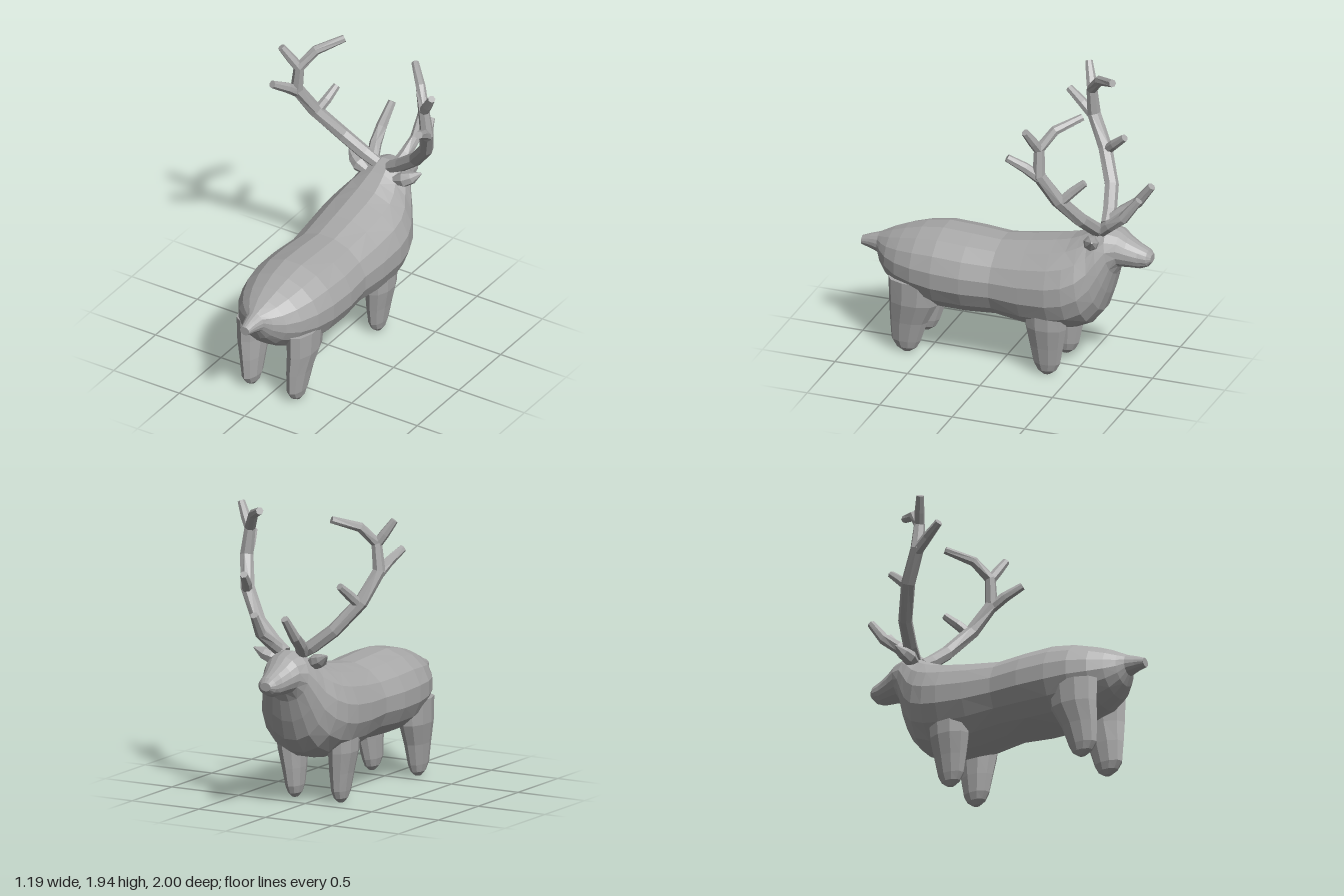
import * as THREE from 'three';

const V = (x, y, z) => new THREE.Vector3(x, y, z);

// Skin a list of equal-sized rings and close both ends.
function loft(rings) {
  const n = rings[0].length, pos = [];
  const tri = (...p) => p.forEach(q => pos.push(q.x, q.y, q.z));
  for (let i = 0; i < rings.length - 1; i++) {
    for (let j = 0; j < n; j++) {
      const k = (j + 1) % n, a = rings[i], b = rings[i + 1];
      if ((i + j) % 2) { tri(a[j], a[k], b[k]); tri(a[j], b[k], b[j]); }
      else { tri(a[j], a[k], b[j]); tri(a[k], b[k], b[j]); }
    }
  }
  const cap = (r, flip) => {
    const c = r.reduce((s, p) => s.add(p), V(0, 0, 0)).divideScalar(n);
    r.forEach((p, j) => flip ? tri(c, r[(j + 1) % n], p) : tri(c, p, r[(j + 1) % n]));
  };
  cap(rings[0], true);
  cap(rings[rings.length - 1], false);
  const g = new THREE.BufferGeometry();
  g.setAttribute('position', new THREE.Float32BufferAttribute(pos, 3));
  g.computeVertexNormals();
  return g;
}

// Ring around centre c spanned by half-axes u and v.
function ring(c, u, v, n) {
  return Array.from({ length: n }, (_, j) => {
    const a = (j + 0.5) / n * Math.PI * 2;
    return c.clone().addScaledVector(u, Math.cos(a)).addScaledVector(v, Math.sin(a));
  });
}

// Faceted tapering branch; points are [x, y, z, radius].
function branch(points, s, sides = 7) {
  const p = points.map(q => V(q[0] * s, q[1], q[2]));
  return loft(p.map((c, i) => {
    const t = p[Math.min(i + 1, p.length - 1)].clone().sub(p[Math.max(i - 1, 0)]).normalize();
    const u = V(0, 0, 1).cross(t).normalize(), v = t.clone().cross(u), r = points[i][3];
    return ring(c, u.multiplyScalar(r), v.multiplyScalar(r), sides);
  }));
}

// Torso, neck and head: [top z, top y, bottom z, bottom y, half width]
const BODY = [
  [1.0, 0.68, 1.0, 0.62, 0.035], [0.94, 0.705, 0.94, 0.605, 0.05],
  [0.88, 0.725, 0.88, 0.585, 0.07],
  [0.84, 0.745, 0.85, 0.52, 0.12], [0.78, 0.775, 0.79, 0.45, 0.185],
  [0.69, 0.81, 0.70, 0.39, 0.245], [0.57, 0.845, 0.57, 0.345, 0.295],
  [0.42, 0.868, 0.42, 0.31, 0.32], [0.22, 0.86, 0.22, 0.31, 0.325],
  [0.02, 0.848, 0.02, 0.322, 0.305], [-0.18, 0.88, -0.18, 0.29, 0.32],
  [-0.36, 0.915, -0.38, 0.285, 0.328], [-0.46, 0.94, -0.50, 0.305, 0.315],
  [-0.53, 0.97, -0.61, 0.355, 0.285], [-0.59, 1.0, -0.685, 0.45, 0.24],
  [-0.64, 1.03, -0.73, 0.58, 0.205], [-0.70, 1.05, -0.765, 0.72, 0.165],
  [-0.79, 1.025, -0.79, 0.775, 0.135], [-0.84, 0.985, -0.85, 0.78, 0.11],
  [-0.91, 0.945, -0.93, 0.78, 0.082], [-0.975, 0.915, -0.975, 0.80, 0.068],
  [-1.0, 0.885, -1.0, 0.83, 0.04]
];

// Legs: [y, x, z, half width, half depth]
const LEGS = {
  hindLeg: [
    [0.52, 0.19, 0.57, 0.09, 0.18], [0.36, 0.19, 0.58, 0.085, 0.165],
    [0.22, 0.178, 0.615, 0.068, 0.128], [0.08, 0.172, 0.635, 0.053, 0.1],
    [0.03, 0.172, 0.632, 0.04, 0.07], [0.0, 0.172, 0.63, 0.018, 0.025]
  ],
  frontLeg: [
    [0.50, 0.19, -0.335, 0.09, 0.155], [0.34, 0.19, -0.335, 0.085, 0.14],
    [0.20, 0.178, -0.335, 0.068, 0.115], [0.08, 0.172, -0.335, 0.053, 0.092],
    [0.03, 0.172, -0.335, 0.04, 0.065], [0.0, 0.172, -0.335, 0.018, 0.025]
  ]
};

// Antler branches and ear: [x, y, z, radius]
const BRANCHES = {
  antlerBeam: [
    [0.05, 1.02, -0.665, 0.042], [0.14, 1.075, -0.65, 0.047],
    [0.28, 1.19, -0.61, 0.047], [0.425, 1.375, -0.51, 0.047],
    [0.497, 1.57, -0.405, 0.045], [0.475, 1.75, -0.4, 0.037],
    [0.40, 1.86, -0.48, 0.033], [0.27, 1.92, -0.62, 0.025]
  ],
  upperTine: [[0.475, 1.74, -0.4, 0.034], [0.52, 1.81, -0.375, 0.033], [0.575, 1.9, -0.34, 0.025]],
  frontTine: [[0.495, 1.55, -0.41, 0.038], [0.52, 1.62, -0.32, 0.035], [0.56, 1.69, -0.21, 0.026]],
  middleTine: [[0.42, 1.36, -0.52, 0.034], [0.385, 1.43, -0.59, 0.033], [0.36, 1.5, -0.67, 0.025]],
  browTine: [
    [0.09, 1.04, -0.68, 0.042], [0.115, 1.1, -0.75, 0.041],
    [0.13, 1.17, -0.845, 0.037], [0.115, 1.31, -0.95, 0.027]
  ],
  ear: [
    [0.10, 0.955, -0.63, 0.03], [0.17, 0.98, -0.64, 0.052],
    [0.22, 1.0, -0.66, 0.042], [0.275, 1.035, -0.685, 0.006]
  ]
};

export function createModel() {
  const group = new THREE.Group();
  const grey = new THREE.MeshStandardMaterial({ color: 0xa8a8a8, flatShading: true });
  grey.name = 'grey';
  const add = (name, geometry) => {
    const mesh = new THREE.Mesh(geometry, grey);
    mesh.name = name;
    group.add(mesh);
  };

  // Body from tail to muzzle
  add('body', loft(BODY.map(([tz, ty, bz, by, w]) => {
    const top = V(0, ty, tz), bottom = V(0, by, bz);
    const c = top.clone().add(bottom).multiplyScalar(0.5);
    return ring(c, V(w, 0, 0), bottom.sub(c), 16);
  })));

  // Paired parts
  for (const [side, s] of [['left', 1], ['right', -1]]) {
    for (const [name, rows] of Object.entries(LEGS)) {
      add(`${side} ${name}`, loft(rows.map(([y, x, z, rx, rz]) =>
        ring(V(x * s, y, z), V(rx, 0, 0), V(0, 0, rz), 10))));
    }
    for (const [name, points] of Object.entries(BRANCHES)) {
      add(`${side} ${name}`, branch(points, s));
    }
  }
  return group;
}
